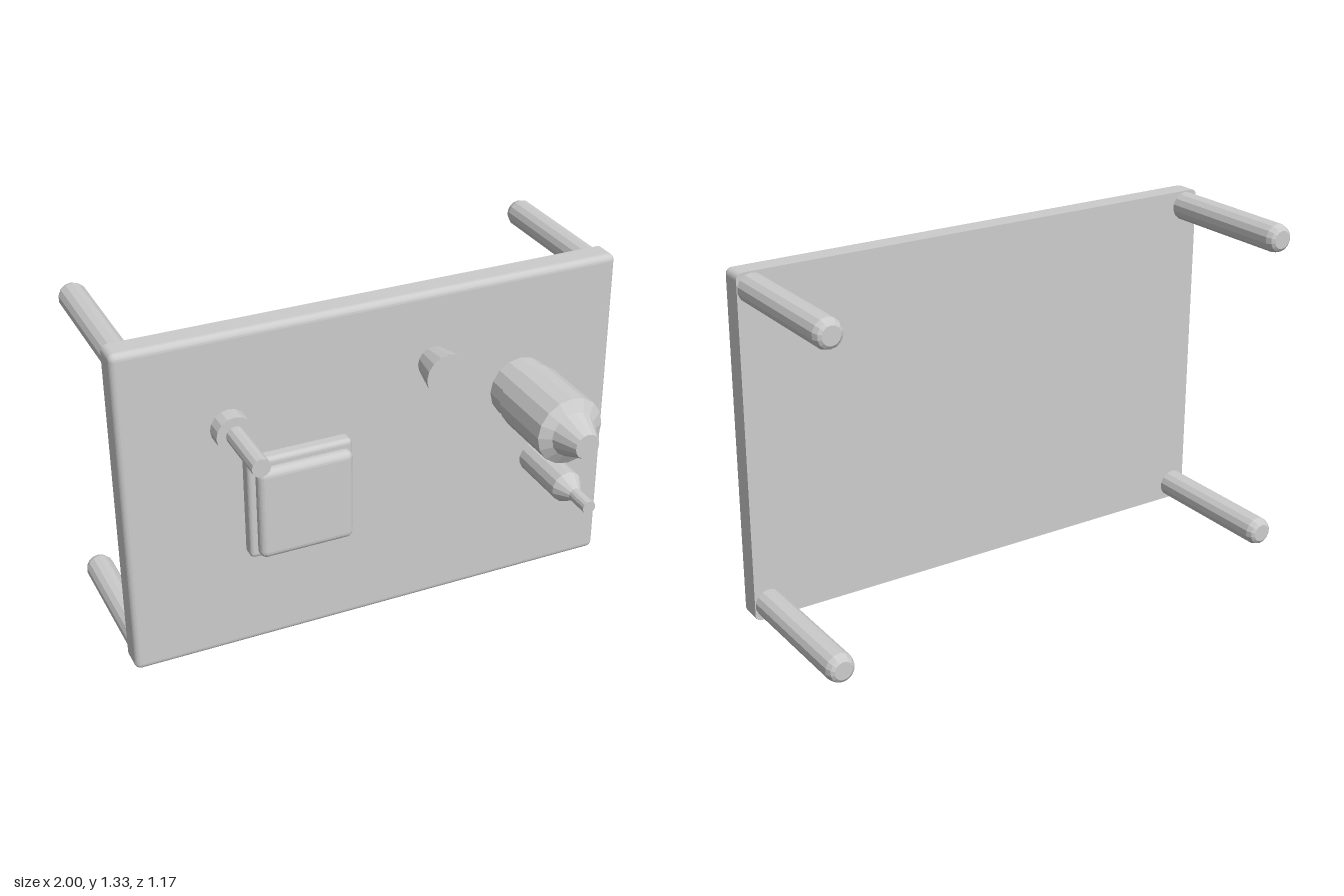
import * as THREE from 'three';
import { RoundedBoxGeometry } from 'three/addons/geometries/RoundedBoxGeometry.js';

export function createModel() {
  const model = new THREE.Group();
  const grey = new THREE.MeshStandardMaterial({ color: 0xcccccc });
  grey.name = 'plain grey';
  grey.flatShading = true;

  function add(name, geometry, x, y, z) {
    const mesh = new THREE.Mesh(geometry, grey);
    mesh.name = name;
    mesh.position.set(x, y, z);
    model.add(mesh);
    return mesh;
  }

  // Turned part along z: profile of [radius, z] pairs, running towards +z
  function turned(name, x, y, sides, profile) {
    const points = profile.map(([r, z]) => new THREE.Vector2(r, z));
    const geometry = new THREE.LatheGeometry(points, sides);
    geometry.rotateX(Math.PI / 2);
    return add(name, geometry, x, y, 0);
  }

  // Table top standing on its long edge: rounded in front, flat and sharp behind
  const top = new RoundedBoxGeometry(2, 1.333, 0.2, 3, 0.025);
  const p = top.attributes.position;
  for (let i = 0; i < p.count; i++) p.setZ(i, Math.max(p.getZ(i), 0));
  top.computeVertexNormals();
  add('tableTop', top, 0, 0.6665, -0.02);

  // Four legs with softened tips
  for (const x of [-0.943, 0.943]) {
    for (const y of [0.063, 1.273]) {
      turned('leg', x, y, 14, [
        [0, -0.585], [0.035, -0.585], [0.047, -0.577], [0.055, -0.555], [0.055, -0.015]
      ]);
    }
  }

  // Two stacked books
  add('lowerBook', new RoundedBoxGeometry(0.415, 0.415, 0.065, 3, 0.018), -0.338, 0.628, 0.112);
  add('upperBook', new RoundedBoxGeometry(0.375, 0.375, 0.06, 3, 0.028), -0.338, 0.632, 0.175);

  // Candle in a round holder
  turned('candleHolder', -0.585, 0.963, 16, [[0, 0.075], [0.072, 0.075], [0.072, 0.145], [0, 0.145]]);
  turned('candle', -0.585, 0.963, 12, [[0.036, 0.14], [0.036, 0.392], [0, 0.392]]);

  // Cup, wider at the rim
  turned('cup', 0.228, 1.046, 16, [[0, 0.075], [0.062, 0.075], [0.089, 0.207], [0, 0.207]]);

  // Large jar with a narrower foot and a tapered stopper
  turned('largeJar', 0.602, 0.856, 16, [
    [0, 0.075], [0.125, 0.075], [0.125, 0.163], [0.135, 0.172], [0.135, 0.46],
    [0.09, 0.486], [0.049, 0.585], [0, 0.585]
  ]);

  // Small bottle with a slim neck
  turned('smallBottle', 0.685, 0.524, 14, [
    [0, 0.075], [0.064, 0.075], [0.064, 0.338], [0.027, 0.4], [0.027, 0.502], [0, 0.502]
  ]);

  return model;
}
